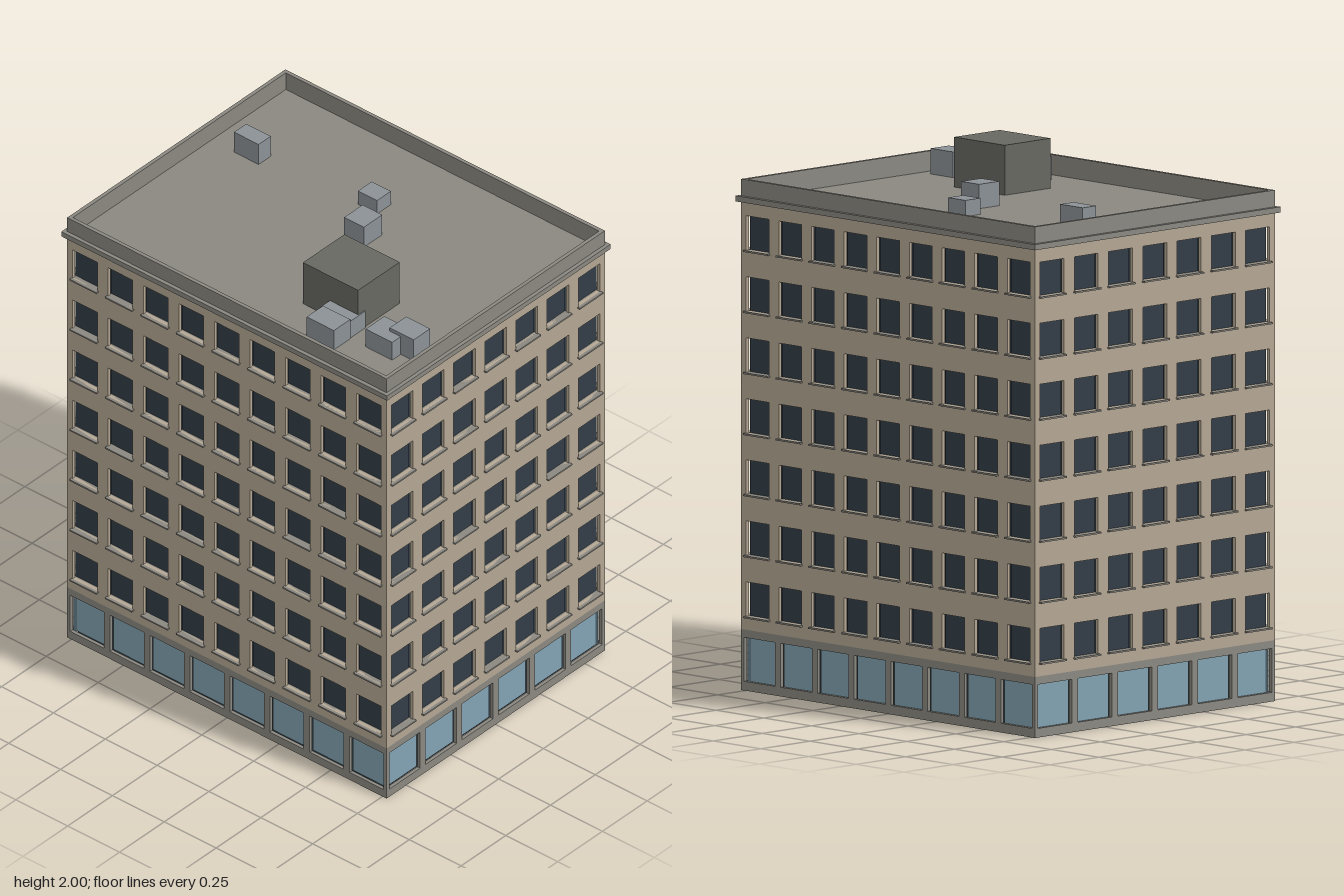
import * as THREE from 'three';
import { mergeGeometries } from 'three/addons/utils/BufferGeometryUtils.js';

const W = 1.54, D = 1.22;              // footprint
const FLOOR = 0.2257, STOREYS = 7;     // storey height, upper storeys
const WALL_TOP = FLOOR * (STOREYS + 1);
const SKIN = 0.014, RECESS = 0.02;     // wall thickness, pane setback
const DECK = 1.815, TOP = 1.89;

const mat = (color) => new THREE.MeshStandardMaterial({ color, flatShading: true });
const stone = mat(0xb4a793), trim = mat(0x8b8881), dark = mat(0x323d46);
const shopGlass = mat(0x82a2b2), deckMat = mat(0x8a8880), plant = mat(0x8b9196), house = mat(0x676861);

function mesh(name, geometry, material) {
  const m = new THREE.Mesh(geometry, material);
  m.name = name;
  return m;
}

// Box given by its lower and upper corners
function box(name, [x0, y0, z0], [x1, y1, z1], material) {
  const g = new THREE.BoxGeometry(x1 - x0, y1 - y0, z1 - z0);
  g.translate((x0 + x1) / 2, (y0 + y1) / 2, (z0 + z1) / 2);
  return mesh(name, g, material);
}

function rect(Type, x0, y0, x1, y1) {
  const p = new Type();
  p.moveTo(x0, y0).lineTo(x1, y0).lineTo(x1, y1).lineTo(x0, y1).closePath();
  return p;
}

// Row of openings [x0, y0, x1, y1] evenly spaced along a facade
function openings(width, count, fill, y0, y1) {
  const pitch = width / count;
  return Array.from({ length: count }, (_, i) => {
    const c = -width / 2 + (i + 0.5) * pitch, h = (pitch * fill) / 2;
    return [c - h, y0, c + h, y1];
  });
}

// Pierced wall with its outer face at z = 0 and mitred ends
function wall(width, y0, y1, holes) {
  const shape = rect(THREE.Shape, -width / 2, y0, width / 2, y1);
  holes.forEach((h) => shape.holes.push(rect(THREE.Path, ...h)));
  const g = new THREE.ExtrudeGeometry(shape, { depth: SKIN, bevelEnabled: false });
  g.translate(0, 0, -SKIN);
  const p = g.attributes.position;
  for (let i = 0; i < p.count; i++) {
    const x = p.getX(i);
    if (p.getZ(i) < -SKIN / 2 && Math.abs(x) > width / 2 - 1e-4) p.setX(i, x - Math.sign(x) * SKIN);
  }
  g.computeVertexNormals();
  return g;
}

// Thin panes set back behind the openings
function panes(holes) {
  return mergeGeometries(holes.map(([x0, y0, x1, y1]) =>
    new THREE.BoxGeometry(x1 - x0 + 0.004, y1 - y0 + 0.004, 0.006)
      .translate((x0 + x1) / 2, (y0 + y1) / 2, -RECESS - 0.003)));
}

function sills(holes) {
  return mergeGeometries(holes.map(([x0, y0, x1]) =>
    new THREE.BoxGeometry(x1 - x0 + 0.01, 0.006, 0.012 + RECESS)
      .translate((x0 + x1) / 2, y0 - 0.003, (0.012 - RECESS) / 2)));
}

function facade(name, width, windowCount, bayCount) {
  const g = new THREE.Group();
  g.name = name;
  const windows = [];
  for (let f = 1; f <= STOREYS; f++) {
    windows.push(...openings(width, windowCount, 0.695, f * FLOOR + 0.05, f * FLOOR + 0.177));
  }
  const bays = openings(width, bayCount, 0.85, 0.034, 0.196);
  g.add(mesh('upperWall', wall(width, FLOOR, WALL_TOP, windows), stone));
  g.add(mesh('windowPanes', panes(windows), dark));
  g.add(mesh('windowSills', sills(windows), trim));
  g.add(mesh('shopfrontFrame', wall(width, 0, FLOOR, bays), trim));
  g.add(mesh('shopfrontGlass', panes(bays), shopGlass));
  return g;
}

// Rectangular ring around the roof
function ring(name, hx, hz, thickness, y0, y1) {
  const s = rect(THREE.Shape, -hx, -hz, hx, hz);
  s.holes.push(rect(THREE.Path, -hx + thickness, -hz + thickness, hx - thickness, hz - thickness));
  const g = new THREE.ExtrudeGeometry(s, { depth: y1 - y0, bevelEnabled: false });
  g.rotateX(-Math.PI / 2).translate(0, y0, 0);
  return mesh(name, g, trim);
}

export function createModel() {
  const model = new THREE.Group();
  model.name = 'officeBuilding';

  // Four facades
  ['front', 'left', 'back', 'right'].forEach((side, i) => {
    const long = i % 2 === 0;
    const f = long ? facade(side + 'Facade', W, 9, 8) : facade(side + 'Facade', D, 7, 6);
    f.rotation.y = (i * Math.PI) / 2;
    const r = (long ? D : W) / 2;
    f.position.set(Math.sin(f.rotation.y) * r, 0, Math.cos(f.rotation.y) * r);
    model.add(f);
  });

  // Dark interior core
  const cx = W / 2 - 0.028, cz = D / 2 - 0.028;
  model.add(box('interiorCore', [-cx, 0.02, -cz], [cx, 1.79, cz], dark));

  // Roof
  const rx = W / 2 - 0.01, rz = D / 2 - 0.01;
  model.add(box('roofDeck', [-rx, 1.79, -rz], [rx, DECK, rz], deckMat));
  model.add(ring('parapet', W / 2, D / 2, 0.015, WALL_TOP, TOP));
  model.add(ring('cornice', W / 2 + 0.015, D / 2 + 0.015, 0.02, 1.807, 1.828));
  model.add(box('roofHouse', [0.164, DECK, 0.143], [0.43, 2, 0.375], house));

  // Rooftop plant: x0, x1, z0, z1, top
  const units = new THREE.Group();
  units.name = 'rooftopUnits';
  [
    [-0.643, -0.525, -0.244, -0.176, 1.905],
    [-0.088, 0.004, -0.302, -0.225, 1.875],
    [0.008, 0.103, -0.139, -0.036, 1.905],
    [0.294, 0.435, 0.34, 0.43, 1.89],
    [0.307, 0.438, 0.428, 0.52, 1.902],
    [0.513, 0.641, 0.324, 0.429, 1.895],
    [0.588, 0.704, 0.29, 0.382, 1.91],
  ].forEach(([x0, x1, z0, z1, top]) =>
    units.add(box('rooftopUnit', [x0, DECK, z0], [x1, top, z1], plant)));
  model.add(units);

  return model;
}
